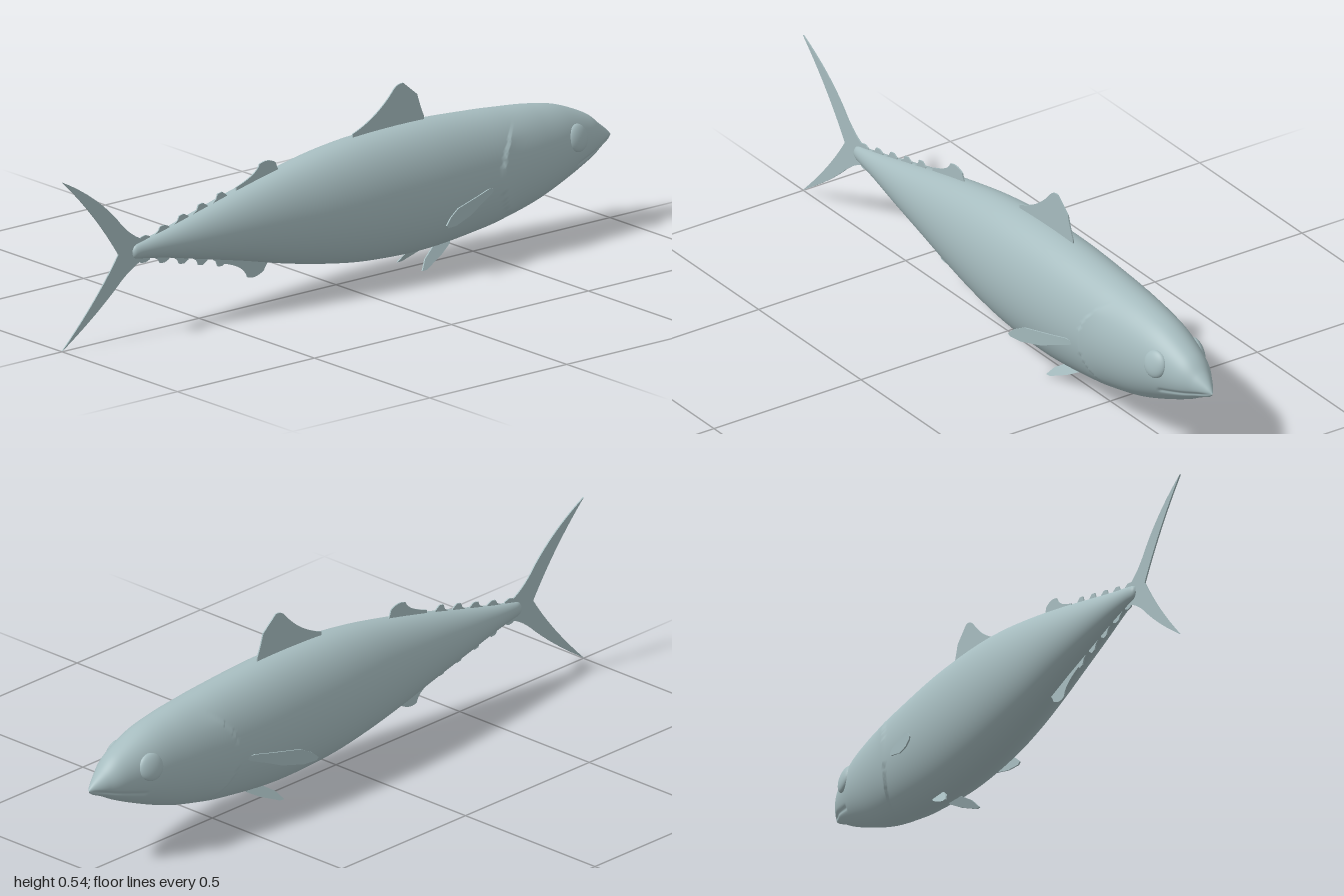
import * as THREE from 'three';

// Body stations from snout to tail: z, top, bottom, half width
const STATIONS = [
  [-1, .252, .248, .002], [-.985, .268, .236, .013], [-.95, .296, .22, .034], [-.9, .334, .193, .058],
  [-.8, .376, .15, .084], [-.7, .396, .114, .1], [-.6, .407, .09, .111], [-.5, .416, .072, .118],
  [-.3, .428, .053, .125], [-.1, .426, .059, .122], [.05, .413, .079, .112], [.2, .388, .109, .095],
  [.35, .356, .146, .076], [.5, .32, .18, .054], [.62, .291, .207, .034], [.7, .274, .221, .021],
  [.735, .265, .227, .013], [.745, .25, .242, .003],
];

function station(t) {
  const n = STATIONS.length - 1;
  const i = Math.min(Math.floor(t), n - 1), f = t - i;
  const at = k => STATIONS[Math.max(0, Math.min(n, k))];
  return [0, 1, 2, 3].map(c => {
    const a = at(i - 1)[c], b = at(i)[c], d = at(i + 1)[c], e = at(i + 2)[c];
    return b + .5 * f * (d - a + f * (2 * a - 5 * b + 4 * d - e + f * (3 * (b - d) + e - a)));
  });
}

// Top and bottom outline height at a given z
function outlineAt(z) {
  const i = STATIONS.findIndex(s => s[0] > z);
  const a = STATIONS[i - 1], b = STATIONS[i], f = (z - a[0]) / (b[0] - a[0]);
  return { top: a[1] + (b[1] - a[1]) * f, bottom: a[2] + (b[2] - a[2]) * f };
}

// Raised gill cover edge and mouth groove, as an outward offset
function relief(y, z) {
  const dy = y - .24;
  const d = z - (-.51 - 4 * dy * dy);
  const fade = 1 - THREE.MathUtils.smoothstep(Math.abs(dy), .1, .15);
  const gill = d < 0 ? .006 * Math.exp(d / .04) * fade : 0;
  const line = .25 - (z + 1) * .24;
  const mouth = z < -.83 ? -.005 * Math.exp(-(((y - line) / .005) ** 2)) * Math.min(1, (z + 1) / .04) : 0;
  return gill + mouth;
}

function bodyGeometry() {
  const rings = 240, sides = 128, pos = [], index = [];
  for (let i = 0; i <= rings; i++) {
    const [z, top, bottom, w] = station(i / rings * (STATIONS.length - 1));
    const cy = (top + bottom) / 2, h = (top - bottom) / 2;
    for (let j = 0; j < sides; j++) {
      const a = j / sides * Math.PI * 2, c = Math.cos(a), s = Math.sin(a);
      const r = relief(cy + s * h, z);
      pos.push(c * (w + r), cy + s * h, z);
      if (i < rings) {
        const p = i * sides + j, q = i * sides + (j + 1) % sides;
        index.push(p, q, p + sides, q, q + sides, p + sides);
      }
    }
  }
  const g = new THREE.BufferGeometry();
  g.setAttribute('position', new THREE.Float32BufferAttribute(pos, 3));
  g.setIndex(index);
  g.computeVertexNormals();
  return g;
}

// Thin plate in the z-y plane, shifted sideways by a rule of z and y
function plate(shape, thickness = .004, shift = () => 0) {
  const g = new THREE.ExtrudeGeometry(shape, { depth: thickness, bevelEnabled: false, curveSegments: 16 });
  g.rotateY(-Math.PI / 2).translate(thickness / 2, 0, 0);
  const p = g.attributes.position;
  for (let i = 0; i < p.count; i++) p.setX(i, p.getX(i) + shift(p.getZ(i), p.getY(i)));
  g.computeVertexNormals();
  return g;
}

const outline = pts => new THREE.Shape(pts.map(p => new THREE.Vector2(p[0], p[1])));

export function createModel() {
  const model = new THREE.Group();
  model.name = 'fish';
  const skin = new THREE.MeshStandardMaterial({ color: 0xa6bcbf });
  skin.name = 'silver grey';
  const add = (name, geometry) => {
    const m = new THREE.Mesh(geometry, skin);
    m.name = name;
    model.add(m);
    return m;
  };

  add('body', bodyGeometry());

  // Forked tail
  const tail = new THREE.Shape();
  tail.moveTo(.69, .272);
  tail.quadraticCurveTo(.75, .29, .8, .353);
  tail.quadraticCurveTo(.88, .44, 1, .5);
  tail.quadraticCurveTo(.88, .385, .795, .25);
  tail.quadraticCurveTo(.87, .135, 1, .008);
  tail.quadraticCurveTo(.88, .085, .8, .157);
  tail.quadraticCurveTo(.75, .205, .69, .224);
  add('tailFin', plate(tail));

  // Dorsal fins and anal fin
  const dorsal = new THREE.Shape();
  dorsal.moveTo(-.32, .41);
  dorsal.lineTo(-.32, .436);
  dorsal.quadraticCurveTo(-.305, .47, -.295, .505);
  dorsal.lineTo(-.245, .547);
  dorsal.quadraticCurveTo(-.225, .55, -.21, .535);
  dorsal.quadraticCurveTo(-.15, .465, -.06, .434);
  dorsal.lineTo(-.06, .41);
  add('dorsalFin', plate(dorsal));

  const second = new THREE.Shape();
  second.moveTo(.2, .37);
  second.quadraticCurveTo(.215, .385, .222, .408);
  second.quadraticCurveTo(.25, .425, .28, .413);
  second.quadraticCurveTo(.29, .385, .365, .362);
  second.lineTo(.365, .34);
  second.lineTo(.2, .36);
  add('secondDorsalFin', plate(second));

  const anal = new THREE.Shape();
  anal.moveTo(.235, .135);
  anal.quadraticCurveTo(.255, .12, .265, .1);
  anal.quadraticCurveTo(.3, .08, .325, .092);
  anal.quadraticCurveTo(.33, .125, .41, .148);
  anal.lineTo(.41, .175);
  anal.lineTo(.235, .15);
  add('analFin', plate(anal));

  // Rows of finlets above and below the tail stalk
  for (let i = 0; i < 5; i++) {
    for (const up of [1, -1]) {
      const z = .395 + i * .07;
      const edge = d => up > 0 ? outlineAt(z + d).top : outlineAt(z + d).bottom;
      const size = 1 - i * .08;
      add('finlet', plate(outline([
        [z, edge(0) - up * .012], [z + .006, edge(.006) + up * .004], [z + .022, edge(.022) + up * .019 * size],
        [z + .038, edge(.038) + up * .02 * size], [z + .044, edge(.044) + up * .006], [z + .058, edge(.058)],
        [z + .058, edge(.058) - up * .012],
      ])));
    }
  }

  for (const side of [1, -1]) {
    const label = side > 0 ? 'left' : 'right';

    // Pectoral fin, swept back and outward
    const pectoral = outline([
      [-.49, .222], [-.455, .224], [-.4, .216], [-.31, .205], [-.275, .187], [-.255, .168],
      [-.262, .16], [-.3, .157], [-.37, .17], [-.42, .19], [-.47, .208],
    ]);
    add(label + 'PectoralFin', plate(pectoral, .004, z => side * (.12 + .27 * (z + .46))));

    // Pelvic fin, splayed downward
    const pelvic = outline([[-.4, .075], [-.39, .058], [-.35, .035], [-.285, .007], [-.268, .006], [-.29, .034], [-.33, .06], [-.33, .075]]);
    add(label + 'PelvicFin', plate(pelvic, .004, (z, y) => side * (.03 + .5 * (.055 - y))));

    // Eye, a shallow dome on the cheek
    const eye = add(label + 'Eye', new THREE.SphereGeometry(.04, 32, 20));
    eye.scale.x = .42;
    eye.position.set(side * .071, .29, -.822);
    eye.rotation.set(0, side * .2, side * .25);
  }

  return model;
}
